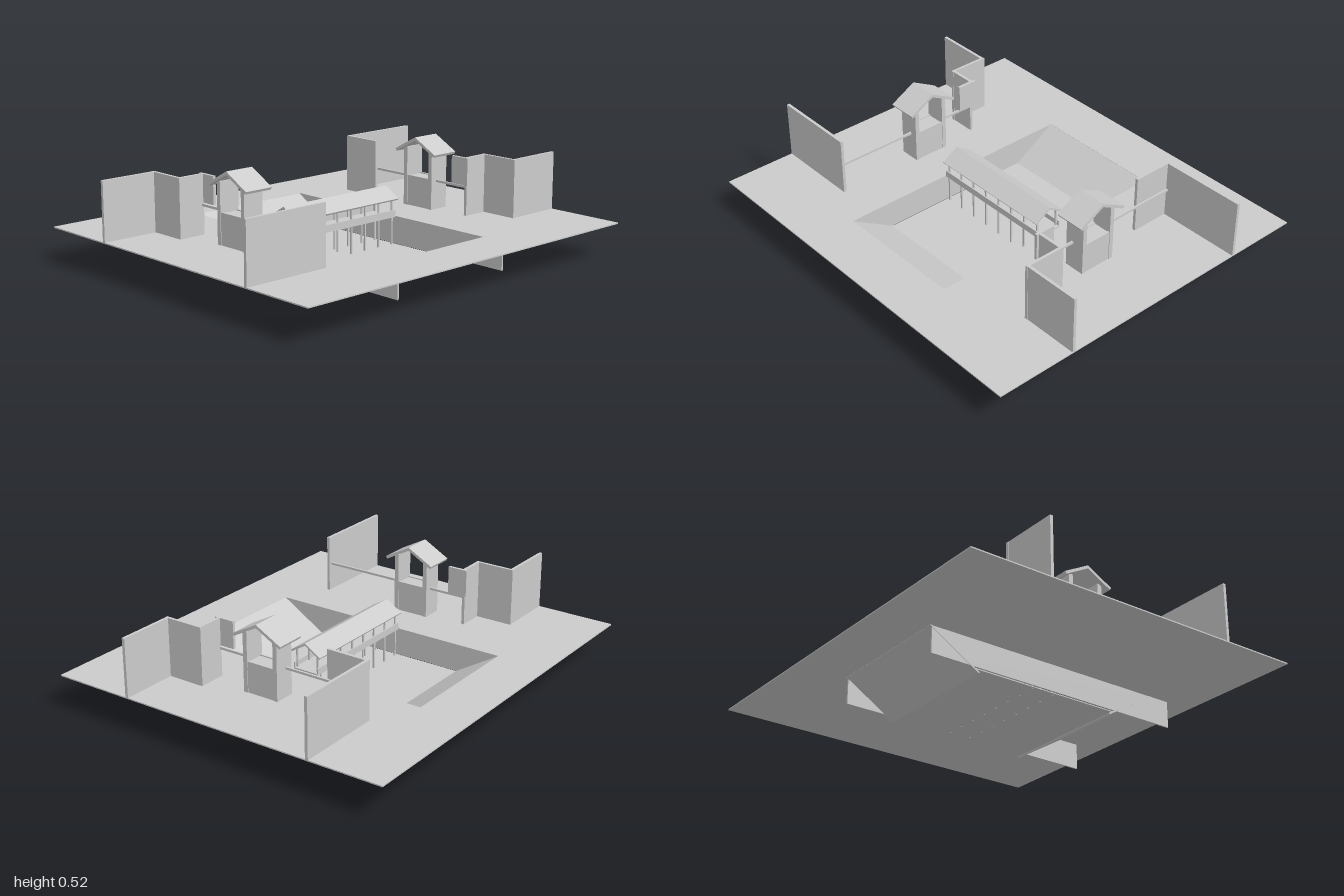
import * as THREE from 'three';

const material = new THREE.MeshStandardMaterial({ color: 0xcccccc, flatShading: true });

// Box given by its limits on each axis
function block(parent, name, x0, x1, y0, y1, z0, z1) {
  const mesh = new THREE.Mesh(new THREE.BoxGeometry(x1 - x0, y1 - y0, z1 - z0), material);
  mesh.position.set((x0 + x1) / 2, (y0 + y1) / 2, (z0 + z1) / 2);
  mesh.name = name;
  parent.add(mesh);
  return mesh;
}

// Sloping plank whose top runs from (za, ya) to (zb, yb), across x0..x1
function plank(parent, name, x0, x1, za, ya, zb, yb, t) {
  const s = new THREE.Shape();
  const len = Math.hypot(zb - za, yb - ya);
  const side = Math.sign(zb - za);
  const nz = (side * (yb - ya) / len) * t, ny = (-side * (zb - za) / len) * t;
  s.moveTo(-za, ya).lineTo(-zb, yb).lineTo(-zb - nz, yb + ny).lineTo(-za - nz, ya + ny);
  const geo = new THREE.ExtrudeGeometry(s, { depth: x1 - x0, bevelEnabled: false });
  geo.rotateY(Math.PI / 2);
  geo.translate(x0, 0, 0);
  const mesh = new THREE.Mesh(geo, material);
  mesh.name = name;
  parent.add(mesh);
}

function gableRoof(parent, name, x0, x1, z, half, eave, ridge, t) {
  for (const s of [-1, 1]) plank(parent, name, x0, x1, z, ridge, z + s * half, eave, t);
}

const G = 0.167, TOP = 0.455; // ground level, wall top
const PX0 = -0.345, PX1 = 0.325; // sides of the pit

function buildGround() {
  const g = new THREE.Group();
  g.name = 'groundAndPit';
  // Thin ground plate with a rectangular opening
  const s = new THREE.Shape();
  s.moveTo(-1, -0.89).lineTo(1, -0.89).lineTo(1, 0.89).lineTo(-1, 0.89);
  const h = new THREE.Path();
  h.moveTo(PX0, -0.63).lineTo(PX0, 0.63).lineTo(PX1, 0.63).lineTo(PX1, -0.63);
  s.holes.push(h);
  const geo = new THREE.ExtrudeGeometry(s, { depth: 0.006, bevelEnabled: false });
  geo.rotateX(-Math.PI / 2);
  const ground = new THREE.Mesh(geo, material);
  ground.position.y = G - 0.005;
  ground.name = 'ground';
  g.add(ground);
  // Pit floor, side walls and sloping ends
  block(g, 'pitFloor', PX0, PX1, 0.024, 0.029, -0.41, 0.41);
  block(g, 'pitWall', PX0 - 0.008, PX0, 0.03, G - 0.002, -0.625, 0.745);
  block(g, 'pitWall', PX1, PX1 + 0.008, 0.03, G - 0.002, -0.625, 0.745);
  for (const z of [-1, 1]) plank(g, 'ramp', PX0 - 0.01, PX1 + 0.01, z * 0.63, G, z * 0.37, 0.009, 0.008);
  return g;
}

function buildBridge() {
  const g = new THREE.Group();
  g.name = 'coveredBridge';
  block(g, 'deck', PX0, PX1, 0.163, 0.175, -0.065, 0.065);
  for (const s of [-1, 1]) {
    block(g, 'railing', PX0 + 0.005, PX1 - 0.005, 0.17, 0.2, s * 0.066 - 0.003, s * 0.066 + 0.003);
    // Posts run from the pit floor to the roof
    for (let i = 0; i < 8; i++) {
      const x = -0.326 + i * 0.0903;
      block(g, 'post', x - 0.004, x + 0.004, 0.022, 0.268, s * 0.058 - 0.004, s * 0.058 + 0.004);
    }
  }
  gableRoof(g, 'bridgeRoof', -0.34, 0.325, 0, 0.085, 0.258, 0.31, 0.009);
  return g;
}

// One side of the courtyard, described for the +x side
function buildSide() {
  const g = new THREE.Group();
  const zc = 0.004;
  // Gate tower: tall end walls, low walls between, gable roof
  for (const s of [-1, 1]) {
    block(g, 'towerEndWall', 0.542, 0.648, G, 0.462, zc + s * 0.083 - 0.011, zc + s * 0.083 + 0.011);
  }
  block(g, 'towerLowWall', 0.545, 0.555, G, 0.32, zc - 0.073, zc + 0.073);
  block(g, 'towerLowWall', 0.635, 0.645, G, 0.32, zc - 0.073, zc + 0.073);
  block(g, 'towerFloor', 0.55, 0.64, 0.305, 0.315, zc - 0.073, zc + 0.073);
  gableRoof(g, 'towerRoof', 0.52, 0.67, zc, 0.133, 0.45, 0.522, 0.014);
  // Stepped boundary wall
  block(g, 'outerWall', 0.704, 1, G, TOP, 0.473, 0.488);
  block(g, 'steppedWall', 0.702, 0.716, G, TOP, 0.283, 0.49);
  block(g, 'steppedWall', 0.575, 0.714, G, TOP, 0.285, 0.3);
  block(g, 'hangingWall', 0.564, 0.579, 0.32, TOP, 0.21, 0.312);
  // Straight boundary wall at the other end
  block(g, 'straightWall', 0.56, 1, G, TOP, -0.522, -0.507);
  // Rail joining the walls to the tower
  block(g, 'rail', 0.576, 0.586, 0.304, 0.315, -0.51, 0.29);
  return g;
}

export function createModel() {
  const model = new THREE.Group();
  model.name = 'courtyard';
  model.add(buildGround(), buildBridge());
  const left = buildSide();
  left.name = 'leftSide';
  // Return wall found on this side only
  block(left, 'returnWall', 0.56, 0.575, G, TOP, -0.522, -0.31);
  const right = buildSide();
  right.name = 'rightSide';
  right.rotation.y = Math.PI;
  model.add(left, right);
  return model;
}
